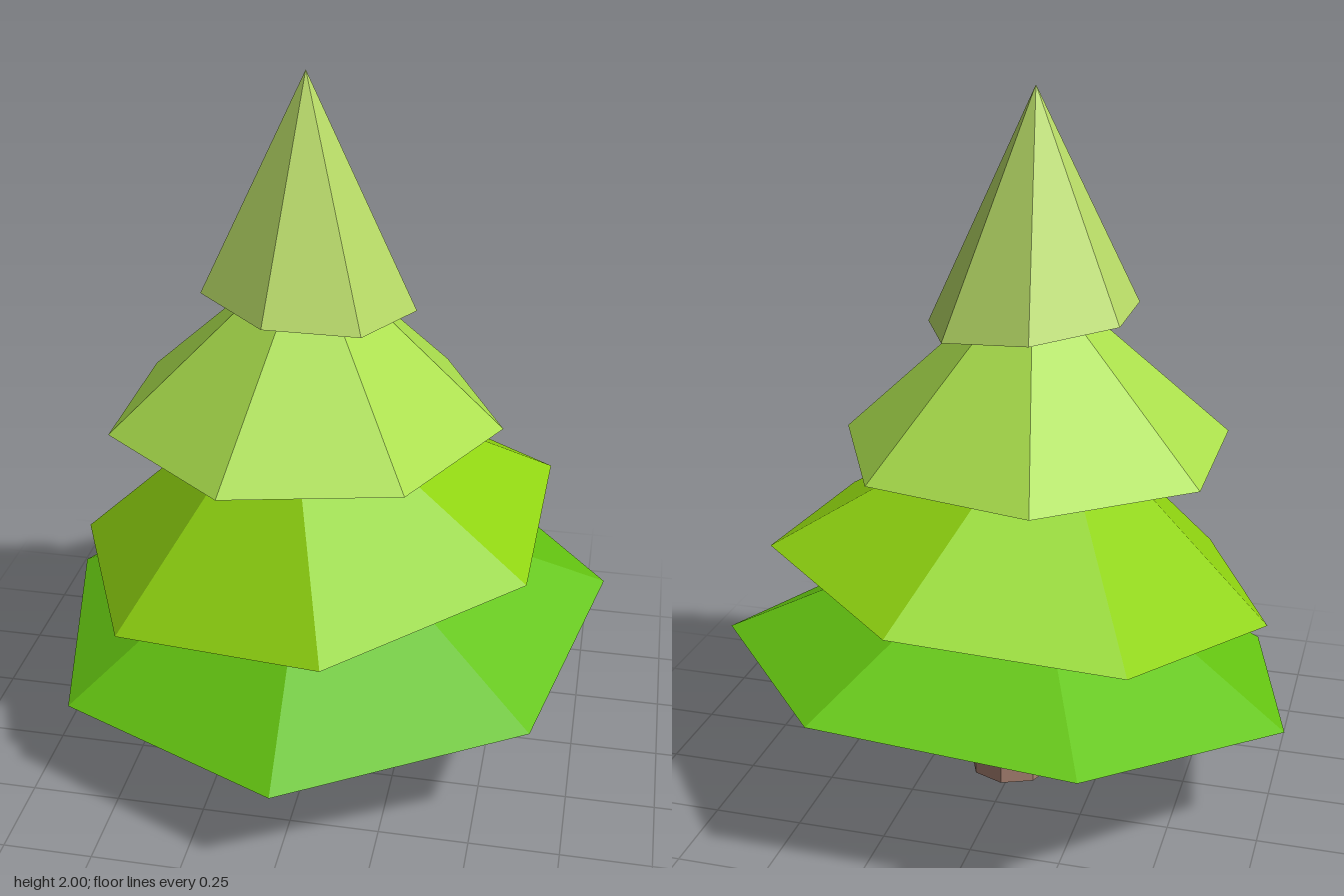
import * as THREE from 'three';

const material = (color) => new THREE.MeshStandardMaterial({ color, flatShading: true });

// Seven-sided cone with a tilted base and a free apex.
// base: centre of the base, slope: rise of the base along x and z
function foliageTier({ name, color, base, radius, slope, apex, turn }) {
  const geometry = new THREE.ConeGeometry(1, 1, 7, 1, false, THREE.MathUtils.degToRad(turn));
  geometry.translate(0, 0.5, 0);
  const [bx, by, bz] = base;
  const [rx, rz] = radius;
  geometry.applyMatrix4(new THREE.Matrix4().set(
    rx, apex[0] - bx, 0, bx,
    slope[0] * rx, apex[1] - by, slope[1] * rz, by,
    0, apex[2] - bz, rz, bz,
    0, 0, 0, 1,
  ));
  geometry.computeVertexNormals();
  const mesh = new THREE.Mesh(geometry, material(color));
  mesh.name = name;
  return mesh;
}

const TIERS = [
  { name: 'bottomFoliage', color: 0x64c411, base: [0, 0.367, -0.042], radius: [0.826, 0.797],
    slope: [0.068, -0.109], apex: [-0.03, 0.81, 0.01], turn: 0 },
  { name: 'lowerFoliage', color: 0x8fd310, base: [-0.021, 0.654, -0.032], radius: [0.705, 0.705],
    slope: [0.134, -0.066], apex: [-0.095, 1.17, 0.02], turn: 11.2 },
  { name: 'upperFoliage', color: 0xaade4c, base: [-0.056, 1.02, -0.016], radius: [0.555, 0.555],
    slope: [0, 0], apex: [-0.045, 1.53, -0.015], turn: 90 },
  { name: 'topFoliage', color: 0xb8db66, base: [-0.046, 1.382, -0.019], radius: [0.297, 0.3],
    slope: [-0.106, 0], apex: [-0.045, 2, 0.01], turn: 90 },
];

export function createModel() {
  const tree = new THREE.Group();
  tree.name = 'pineTree';

  // Octagonal trunk, its top hidden inside the bottom foliage
  const trunk = new THREE.Mesh(new THREE.CylinderGeometry(0.123, 0.123, 0.5, 8), material(0xa88272));
  trunk.name = 'trunk';
  trunk.position.set(0.012, 0.25, -0.025);
  tree.add(trunk);

  // Stacked foliage cones
  for (const tier of TIERS) tree.add(foliageTier(tier));
  return tree;
}
